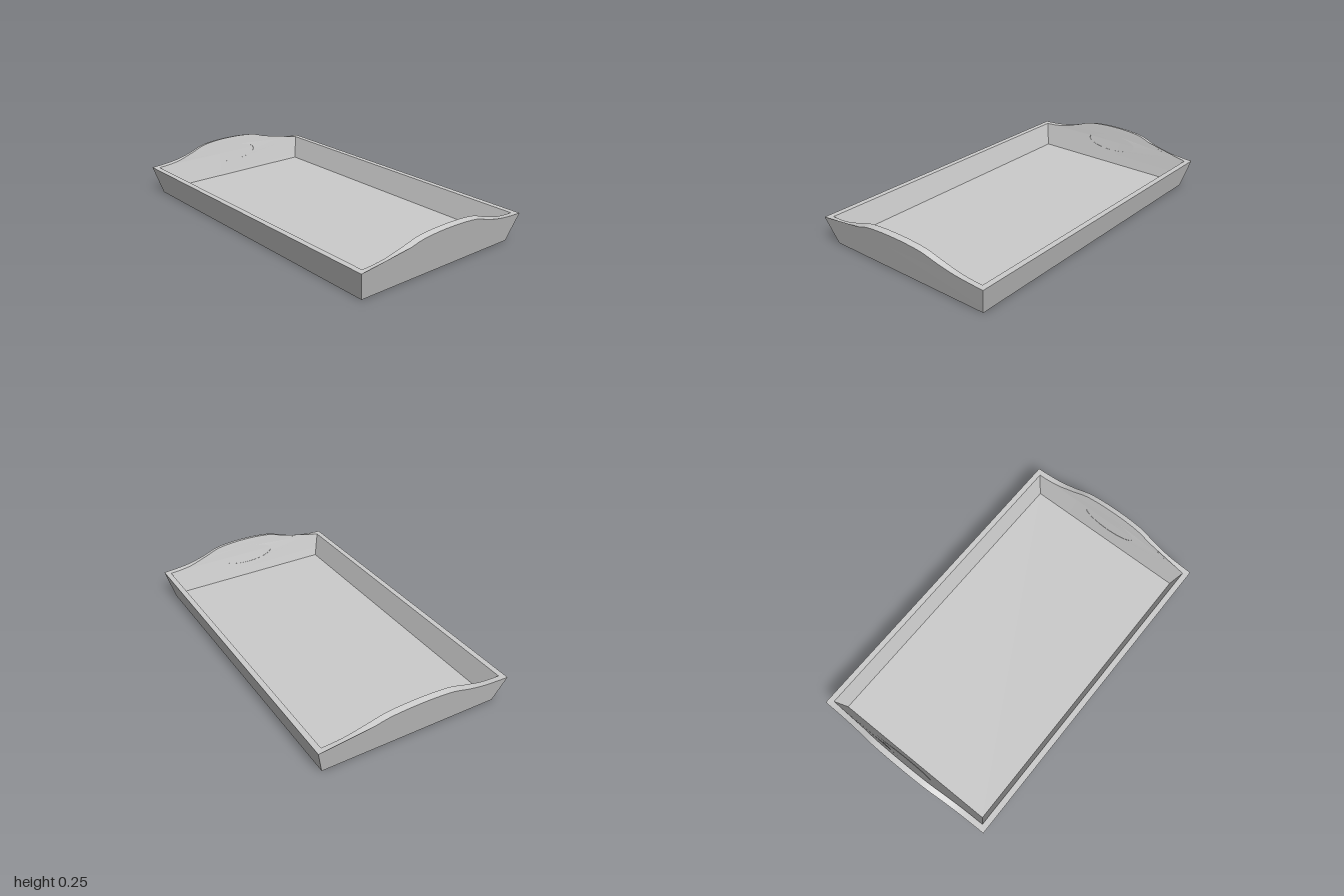
import * as THREE from 'three';
import { toCreasedNormals } from 'three/addons/utils/BufferGeometryUtils.js';

const HALF_X = 0.93, HALF_Z = 0.53; // outer footprint at the base
const SLOPE = 0.27;                 // outward lean of every wall
const WALL = 0.033, RIM = 0.163, FLOOR = 0.027;
const TILT = 0.008;                 // rise of the inner edge on the handle

const material = new THREE.MeshStandardMaterial({ color: 0xcccccc });
const smooth = THREE.MathUtils.smoothstep;

// Moves every vertex of a geometry by a rule (x, y, z) => [x, y, z]
function reshape(geometry, rule) {
  const p = geometry.attributes.position;
  for (let i = 0; i < p.count; i++) {
    p.setXYZ(i, ...rule(p.getX(i), p.getY(i), p.getZ(i)));
  }
  return toCreasedNormals(geometry, 0.5);
}

function part(name, geometry) {
  const mesh = new THREE.Mesh(geometry, material);
  mesh.name = name;
  return mesh;
}

// End wall: raised, curved handle with an oval grip hole, mitred at the corners
function endWallGeometry() {
  const rimZ = HALF_Z + SLOPE * RIM;
  const half = [[rimZ, RIM], [0.5, 0.167], [0.4, 0.178], [0.3, 0.201], [0.2, 0.232], [0.1, 0.244]];
  const crest = [...half, [0, 0.247], ...half.map(([z, y]) => [-z, y]).reverse()];
  const shape = new THREE.Shape();
  shape.moveTo(-HALF_Z, 0);
  shape.lineTo(HALF_Z, 0);
  shape.lineTo(rimZ, RIM);
  shape.splineThru(crest.slice(1).map(([z, y]) => new THREE.Vector2(z, y)));

  const hole = new THREE.Path();
  hole.absellipse(0, 0.148, 0.173, 0.048, 0, Math.PI * 2, true);
  shape.holes.push(hole);

  const geometry = new THREE.ExtrudeGeometry(shape, { depth: 1, bevelEnabled: false, curveSegments: 20 });
  return reshape(geometry, (u, y, d) => {
    const inner = 1 - d, a = Math.abs(u);
    const lift = y > 0.01 ? TILT * inner * (1 - smooth(a, 0.2, 0.55)) : 0;
    const mitre = WALL * inner * smooth(a, 0.3, HALF_Z) * Math.sign(u);
    return [HALF_X + SLOPE * y - WALL * inner, y + lift, mitre - u];
  });
}

// Long wall: leaning slab with mitred ends
function sideWallGeometry() {
  return reshape(new THREE.BoxGeometry(2, 1, 1), (x, v, w) => {
    const y = v > 0 ? RIM : 0;
    const inset = SLOPE * y - (w > 0 ? 0 : WALL);
    return [Math.sign(x) * (HALF_X + inset), y, HALF_Z + inset];
  });
}

// Floor: panel whose edges follow the leaning walls
function floorGeometry() {
  return reshape(new THREE.BoxGeometry(1, 1, 1), (x, v, z) => {
    const y = v > 0 ? FLOOR : 0;
    const inset = SLOPE * y - WALL;
    return [Math.sign(x) * (HALF_X + inset), y, Math.sign(z) * (HALF_Z + inset)];
  });
}

export function createModel() {
  const tray = new THREE.Group();
  tray.name = 'servingTray';
  tray.add(part('floor', floorGeometry()));

  const endGeometry = endWallGeometry();
  const sideGeometry = sideWallGeometry();
  const names = [['leftHandleWall', 'frontWall'], ['rightHandleWall', 'backWall']];
  names.forEach(([endName, sideName], i) => {
    const end = part(endName, endGeometry);
    const side = part(sideName, sideGeometry);
    end.rotation.y = side.rotation.y = i * Math.PI;
    tray.add(end, side);
  });
  return tray;
}
